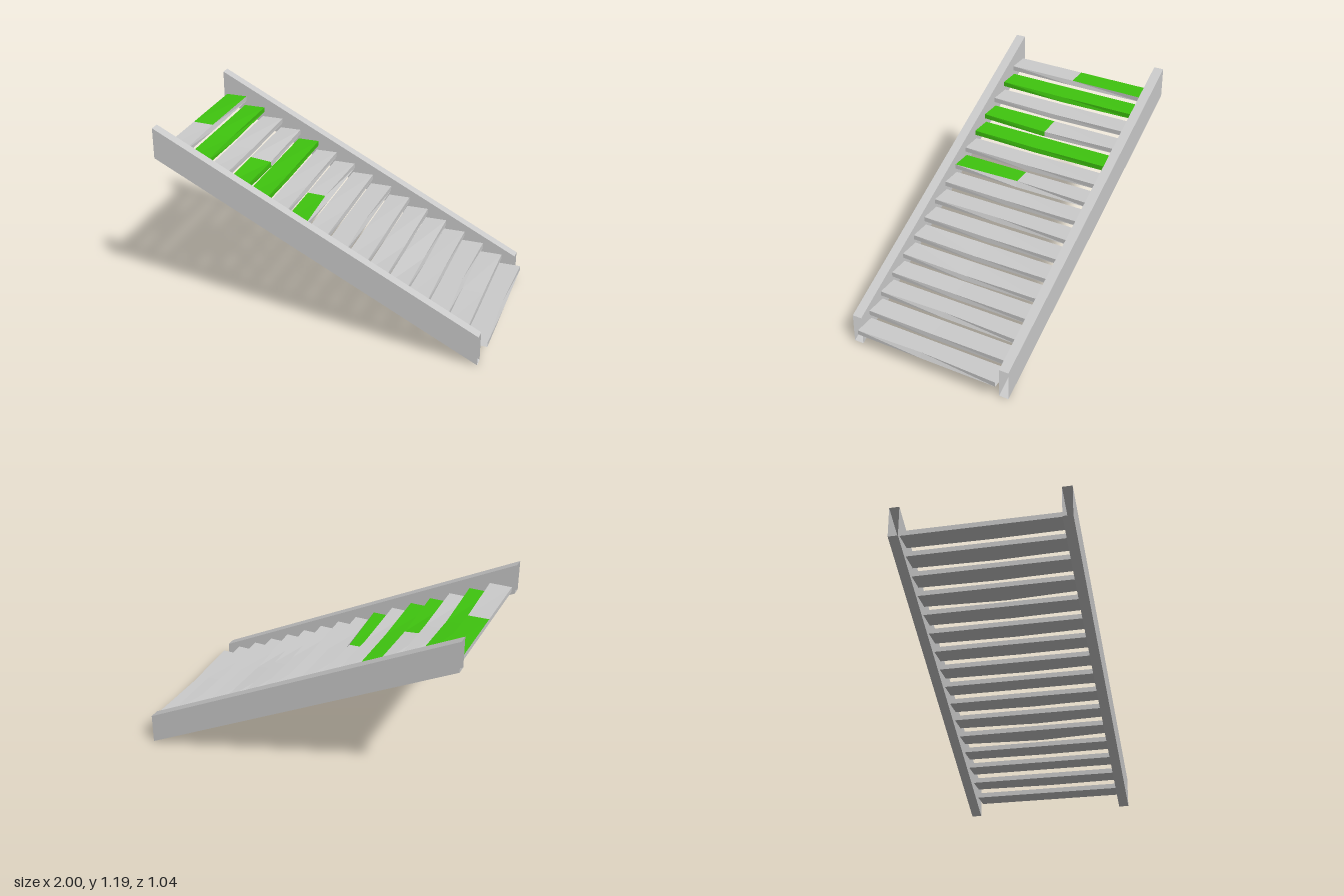
import * as THREE from 'three';

const makeMaterial = (color) => new THREE.MeshStandardMaterial({ color, side: THREE.DoubleSide, flatShading: true });

// Skin of quads between neighbouring cross-sections; sides picks which edges of the loop to build
function skin(sections, sides) {
  const pos = [];
  for (let s = 0; s + 1 < sections.length; s++) {
    const a = sections[s], b = sections[s + 1];
    for (const i of sides) {
      const j = (i + 1) % a.length;
      pos.push(...a[i], ...a[j], ...b[j], ...a[i], ...b[j], ...b[i]);
    }
  }
  const geo = new THREE.BufferGeometry();
  geo.setAttribute('position', new THREE.Float32BufferAttribute(pos, 3));
  geo.computeVertexNormals();
  return geo;
}

export function createModel() {
  const root = new THREE.Group();
  const grey = makeMaterial(0xcccccc);
  const green = makeMaterial(0x3fc40f);

  const add = (parent, name, geo, mat) => {
    const mesh = new THREE.Mesh(geo, mat);
    mesh.name = name;
    parent.add(mesh);
  };

  // Sloping side boards: hollow, open at their upper and lower ends
  const board = (x, y, z) => [
    [x, y, z + 0.03], [x, y, z - 0.03], [x, y + 0.187, z - 0.03], [x, y + 0.187, z + 0.03],
  ];
  for (const [name, z] of [['frontStringer', 0.49], ['backStringer', -0.495]]) {
    add(root, name, skin([board(-1, 1.003, z), board(0.96, 0, z)], [0, 1, 2, 3]), grey);
  }

  // Treads worn down in the middle: dip lowers the front edge, recess pulls its top back
  const dip = [0.004, 0.008, 0.008, 0.014, 0.007, 0.007, 0.004, 0.006, 0, 0.007, 0.01, 0.014, 0.004, 0, 0.005, 0];
  const recess = [0.01, 0.01, 0.003, 0.004, 0.004, 0.006, 0.022, 0.004, 0.012, 0.004, 0.004, 0.008, 0.006, 0.015, 0.003, 0.016];
  // Coloured faces of each tread half (R = z below 0.03, L = z above 0.03)
  const painted = {
    0: ['topR'],
    1: ['topR', 'topL', 'frontR', 'frontL'],
    3: ['topL', 'frontL'],
    4: ['topR', 'topL', 'frontR', 'frontL'],
    6: ['topL'],
  };
  const middle = 0.03;

  for (let i = 0; i < 16; i++) {
    const tread = new THREE.Group();
    tread.name = `tread${i + 1}`;
    root.add(tread);
    const front = -0.845 + i * 0.123, back = front - 0.135;
    const top = 1.041 - i * 0.061, bottom = top - 0.03;

    // Loop order: back top, front top, front bottom, back bottom
    const section = (z, wear) => [
      [back, top, z],
      [front - recess[i] * wear, top - dip[i] * wear, z],
      [front, bottom - dip[i] * wear, z],
      [back, bottom, z],
    ];
    const right = section(-0.463, 0), mid = section(middle, 1), left = section(0.46, 0);

    for (const [half, pair] of [['R', [mid, right]], ['L', [left, mid]]]) {
      ['top', 'front'].forEach((face, side) => {
        const name = face + half;
        add(tread, name, skin(pair, [side]), painted[i]?.includes(name) ? green : grey);
      });
    }
    add(tread, 'underside', skin([left, mid, right], [2, 3]), grey);
  }
  return root;
}
